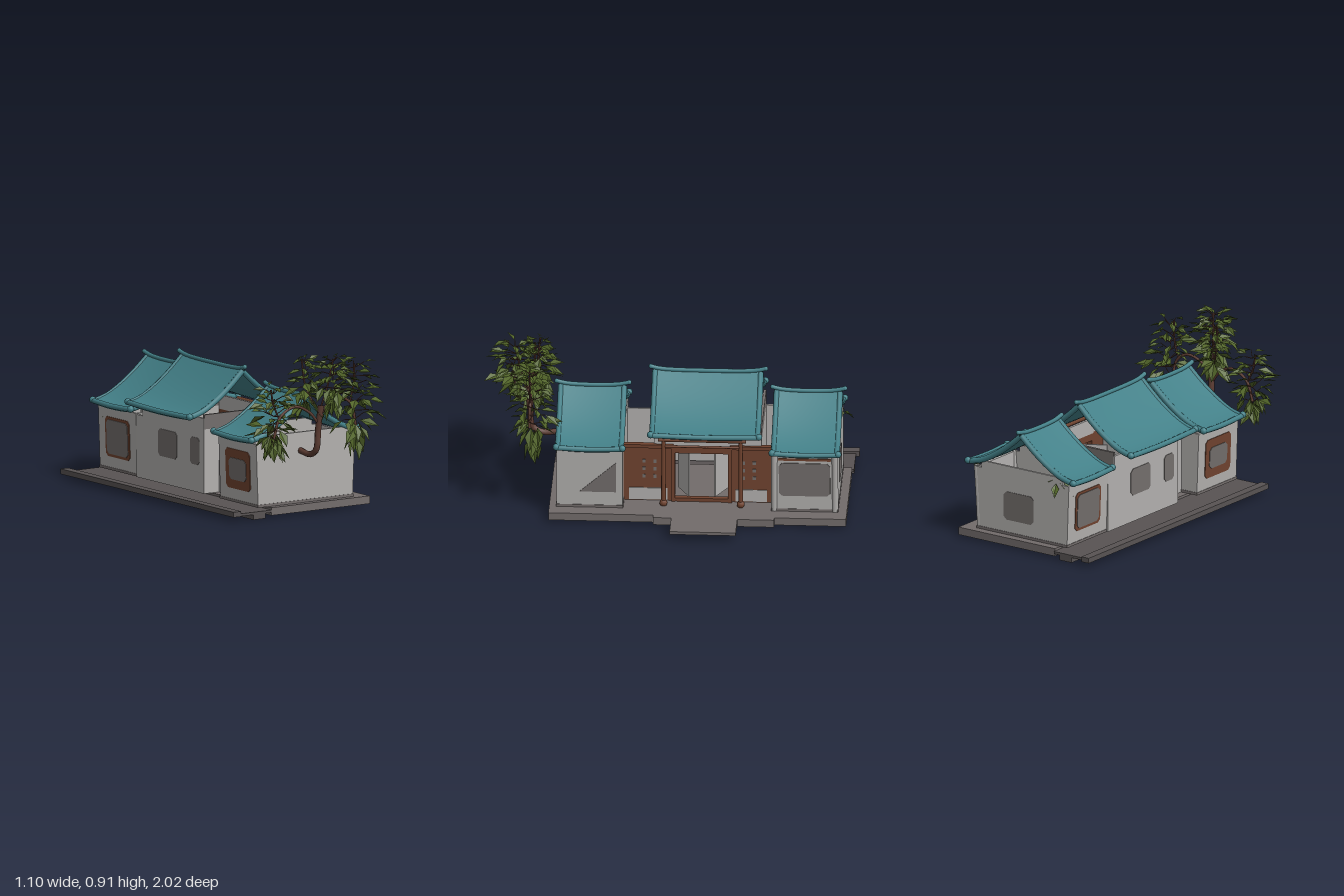
import * as THREE from 'three';
import { mergeGeometries } from 'three/addons/utils/BufferGeometryUtils.js';

export function createModel() {
  const model = new THREE.Group();
  const mat = (name, color, extra = {}) => {
    const m = new THREE.MeshStandardMaterial({ color, ...extra });
    m.name = name;
    return m;
  };
  const plaster = mat('plaster', 0xb2b0ae, { side: THREE.DoubleSide });
  const stone = mat('stone', 0x726c6b);
  const darkStone = mat('darkStone', 0x585353);
  const shade = mat('windowGrey', 0x736e6c);
  const tile = mat('roofTeal', 0x438088, { side: THREE.DoubleSide });
  const wood = mat('wood', 0x70432f);
  const bark = mat('bark', 0x5c3c32);
  const leafGreen = mat('leaf', 0x526529, { side: THREE.DoubleSide, flatShading: true });

  const add = (name, geo, material, parent = model) => {
    const m = new THREE.Mesh(geo, material);
    m.name = name;
    parent.add(m);
    return m;
  };
  const boxGeo = (x0, x1, y0, y1, z0, z1) =>
    new THREE.BoxGeometry(x1 - x0, y1 - y0, z1 - z0)
      .translate((x0 + x1) / 2, (y0 + y1) / 2, (z0 + z1) / 2);
  const box = (name, material, ...b) => add(name, boxGeo(...b), material);
  const tubeGeo = (pts, r, steps = 16, sides = 8) => new THREE.TubeGeometry(
    new THREE.CatmullRomCurve3(pts.map(p => new THREE.Vector3(...p))), steps, r, sides);
  const tube = (name, pts, r, material, parent = model) => add(name, tubeGeo(pts, r), material, parent);
  const ball = (name, x, y, z, r, material, parent = model) =>
    add(name, new THREE.SphereGeometry(r, 10, 8).translate(x, y, z), material, parent);
  const shapeOf = pts => new THREE.Shape(pts.map(p => new THREE.Vector2(...p)));

  // Stone terrace, entrance step with sloped underside, and back gutter
  box('terrace', stone, -0.3, 0.35, 0.012, 0.055, -0.97, 0.65);
  box('porchFloor', stone, 0.35, 0.38, 0.012, 0.055, -0.58, 0.08);
  add('entranceStep', new THREE.ExtrudeGeometry(
    shapeOf([[0.38, 0.012], [0.46, 0.036], [0.55, 0.038], [0.55, 0.055], [0.38, 0.055]]),
    { depth: 0.36, bevelEnabled: false }).translate(0, 0, -0.38), stone);
  box('backWalk', darkStone, -0.5, -0.3, 0.028, 0.042, -0.98, 0.65);
  box('backCurb', darkStone, -0.55, -0.5, 0.026, 0.055, -1, 0.65);
  box('backFooting', darkStone, -0.42, -0.34, 0, 0.028, -0.98, 0.65);

  // Four thin walls, flaring outward towards the top; side walls stop below the eaves
  const flare = 0.12;
  const shell = (name, x0, x1, z0, z1) => {
    const w = 0.014, b = 0.055, c = (x0 + x1) / 2;
    const geo = mergeGeometries([
      boxGeo(x0, x1, b, 0.405, z1 - w, z1), boxGeo(x0, x1, b, 0.405, z0, z0 + w),
      boxGeo(x0 + 0.04, x1 - 0.04, 0.405, 0.445, z1 - w, z1),
      boxGeo(x0 + 0.04, x1 - 0.04, 0.405, 0.445, z0, z0 + w),
      boxGeo(x0, x0 + w, b, 0.405, z0, z1), boxGeo(x1 - w, x1, b, 0.405, z0, z1)]);
    const p = geo.attributes.position;
    for (let i = 0; i < p.count; i++)
      p.setX(i, c + (p.getX(i) - c) * (1 + flare * (p.getY(i) - b)));
    geo.computeVertexNormals();
    add(name, geo, plaster);
    box(name + 'Plinth', stone, x0 - 0.003, x1 + 0.003, b, 0.07, z0 - 0.003, z1 + 0.003);
  };
  shell('frontHouseWalls', -0.36, 0.265, 0.25, 0.61);
  shell('rearHouseWalls', -0.345, 0.26, -0.92, -0.56);

  // Middle hall: end walls with grey gable bands, back wall, timber front with a doorway
  for (const z of [0.07, -0.5]) {
    box('hallEndWall', plaster, -0.35, 0.15, 0.055, 0.41, z, z + 0.015);
    box('hallGableBand', shade, -0.35, 0.15, 0.41, 0.49, z, z + 0.015);
  }
  box('hallBackWall', plaster, -0.355, -0.34, 0.055, 0.47, -0.5, 0.085);
  box('linkBackWall', plaster, -0.255, -0.245, 0.055, 0.41, 0.085, 0.25);
  box('linkBackWall', plaster, -0.355, -0.34, 0.055, 0.4, -0.56, -0.5);
  box('hallLintel', plaster, 0.14, 0.155, 0.385, 0.47, -0.5, 0.085);
  for (const [z0, z1] of [[-0.02, 0.25], [-0.56, -0.33]]) {
    box('timberWall', wood, 0.14, 0.16, 0.055, 0.385, z0, z1);
    box('plasterSkirting', plaster, 0.158, 0.165, 0.06, 0.13, z0 + 0.03, z1 - 0.03);
    box('timberRail', wood, 0.14, 0.172, 0.372, 0.392, z0, z1);
    for (let i = 0; i < 2; i++) for (let j = 0; j < 3; j++) {
      const z = z0 + 0.09 + i * 0.06, y = 0.19 + j * 0.045;
      box('latticeHole', shade, 0.158, 0.163, y, y + 0.02, z, z + 0.018);
    }
  }
  box('doorHead', wood, 0.14, 0.17, 0.345, 0.385, -0.33, -0.02);
  box('doorSill', wood, 0.14, 0.17, 0.055, 0.075, -0.33, -0.02);
  for (const z of [-0.02, -0.33]) box('doorJamb', wood, 0.14, 0.175, 0.055, 0.385, z - 0.01, z + 0.01);
  for (const s of [1, -1]) {
    const leaf = add('openDoorLeaf', new THREE.BoxGeometry(0.13, 0.27, 0.01), plaster);
    leaf.position.set(0.085, 0.21, -0.175 + s * 0.1);
    leaf.rotation.y = s * 0.5;
  }

  // Porch posts with ball feet and two cross beams
  for (const z of [0.03, -0.39]) {
    add('porchPost', new THREE.CylinderGeometry(0.011, 0.013, 0.4, 10).translate(0.22, 0.255, z), wood);
    ball('postFoot', 0.22, 0.07, z, 0.022, wood);
    tube('porchTie', [[0.15, 0.42, z], [0.185, 0.425, z], [0.22, 0.42, z]], 0.009, wood);
  }
  tube('porchBeam', [[0.22, 0.45, 0.06], [0.22, 0.45, -0.18], [0.22, 0.45, -0.42]], 0.013, wood);
  tube('porchRail', [[0.22, 0.41, 0.03], [0.22, 0.41, -0.18], [0.22, 0.41, -0.39]], 0.007, wood);

  // Round corner columns of the rear house
  for (const z of [-0.575, -0.905])
    tube('cornerColumn', [[0.25, 0.055, z], [0.26, 0.24, z], [0.272, 0.41, z]], 0.018, plaster);

  // Windows: thin plates, leaning with the flared walls
  const Q = Math.PI / 2;
  const plate = (name, material, pts, x, y, z, turn, lean = 0) => {
    const g = new THREE.ExtrudeGeometry(shapeOf(pts), { depth: 0.005, bevelEnabled: false });
    const m = add(name, g, material);
    m.position.set(x, y, z);
    m.rotation.set(lean, turn, 0, 'YXZ');
  };
  const clipped = (w, h, c = 0.018) => [[-w + c, -h], [w - c, -h], [w, -h + c], [w, h - c],
    [w - c, h], [-w + c, h], [-w, h - c], [-w, -h + c]];
  const lean = 0.037;
  plate('rearWindow', shade, clipped(0.1, 0.08), -0.02, 0.22, -0.918, Math.PI);
  plate('rearHouseSideWindow', shade, clipped(0.14, 0.1), 0.266, 0.25, -0.74, Q, lean);
  plate('rearWindowHead', wood, clipped(0.145, 0.007, 0.004), 0.27, 0.372, -0.74, Q, lean);
  plate('frontHouseSidePatch', shade, [[-0.1, -0.09], [0.1, -0.09], [0.1, 0.09]], 0.27, 0.24, 0.385, Q, lean);
  plate('hallBackWindow', shade, clipped(0.09, 0.075), -0.353, 0.28, -0.26, -Q);
  plate('hallBackWindow', shade, clipped(0.045, 0.075), -0.353, 0.28, 0.0, -Q);
  for (const [z, x, w, h] of [[-0.74, -0.35, 0.1, 0.095], [0.43, -0.366, 0.08, 0.06]]) {
    plate('sideWindowFrame', wood, clipped(0.115, 0.11), x, 0.24, z, -Q, lean);
    plate('sideWindow', shade, clipped(w, h), x - 0.003, 0.24, z, -Q, lean);
  }

  // Thick curved gable roof with rolled eaves, gable edges and an upturned ridge
  const roof = (name, cx, z0, z1, eave, ridge) => {
    const g = new THREE.Group();
    g.name = name;
    model.add(g);
    const half = 0.355, len = z1 - z0, zc = (z0 + z1) / 2, thick = 0.024;
    const height = t => eave + (ridge - eave) * Math.pow(1 - t, 1.55);
    const lift = z => 0.01 * Math.pow((z - zc) / (len / 2), 2);
    for (const s of [1, -1]) {
      for (const drop of [0, thick]) {
        const sheet = new THREE.PlaneGeometry(1, 1, 10, 8);
        const p = sheet.attributes.position;
        for (let i = 0; i < p.count; i++) {
          const t = p.getX(i) + 0.5, z = zc - s * p.getY(i) * len;
          p.setXYZ(i, cx + s * t * half, height(t) + lift(z) - drop, z);
        }
        sheet.computeVertexNormals();
        add(drop ? 'roofUnderside' : 'roofSlope', sheet, tile, g);
      }
      for (const z of [z0 + 0.008, z1 - 0.008])
        tube('gableEdge', [0, 0.25, 0.5, 0.75, 1].map(t => [cx + s * t * half, height(t) - 0.003, z]), 0.016, tile, g);
      const ex = cx + s * half;
      tube('eaveRoll', [[ex, eave, z0], [ex, eave - 0.006, zc], [ex, eave, z1]], 0.015, tile, g);
      for (const z of [z0, z1]) ball('eaveKnob', ex, eave + 0.004, z, 0.019, tile, g);
    }
    tube('ridgeBeam', [[cx, ridge + 0.022, z0 - 0.02], [cx, ridge + 0.01, z0 + 0.04],
      [cx, ridge + 0.004, zc], [cx, ridge + 0.01, z1 - 0.04], [cx, ridge + 0.022, z1 + 0.015]], 0.012, tile, g);
    for (const z of [z0 - 0.02, z1 + 0.015]) ball('ridgeKnob', cx, ridge + 0.022, z, 0.013, tile, g);
  };
  roof('frontRoof', -0.05, 0.25, 0.61, 0.427, 0.638);
  roof('middleRoof', -0.105, -0.49, 0.1, 0.487, 0.712);
  roof('rearRoof', -0.035, -0.925, -0.565, 0.427, 0.638);

  // Tree growing out of the front wall
  tube('trunk', [[-0.08, 0.345, 0.6], [-0.08, 0.335, 0.7], [-0.08, 0.37, 0.76], [-0.075, 0.48, 0.77], [-0.07, 0.62, 0.79]], 0.017, bark);
  const branches = [
    [[-0.075, 0.53, 0.775], [-0.03, 0.6, 0.77], [0.07, 0.645, 0.76], [0.15, 0.6, 0.76], [0.18, 0.48, 0.76]],
    [[-0.08, 0.52, 0.775], [-0.13, 0.58, 0.77], [-0.22, 0.62, 0.76], [-0.32, 0.57, 0.76], [-0.36, 0.46, 0.76]],
    [[-0.07, 0.6, 0.785], [-0.05, 0.72, 0.82], [-0.03, 0.88, 0.85]],
    [[-0.07, 0.58, 0.785], [-0.13, 0.7, 0.74], [-0.15, 0.87, 0.72]],
    [[0.14, 0.61, 0.76], [0.165, 0.7, 0.76], [0.17, 0.82, 0.76]],
    [[-0.33, 0.57, 0.76], [-0.365, 0.65, 0.76], [-0.38, 0.73, 0.76]]];
  branches.forEach((b, i) => tube('branch', b, i < 2 ? 0.008 : 0.005, bark));

  // Folded pointed leaves on thin twigs, set in whorls
  let seed = 7;
  const rnd = () => (seed = (seed * 16807) % 2147483647) / 2147483647;
  const leaf = new THREE.BufferGeometry();
  leaf.setAttribute('position', new THREE.Float32BufferAttribute([
    0, 0, 0, 0.24, 0.05, 0.45, 0, -0.05, 0.5, 0.24, 0.05, 0.45, 0, -0.12, 1, 0, -0.05, 0.5,
    0, 0, 0, 0, -0.05, 0.5, -0.24, 0.05, 0.45, 0, -0.05, 0.5, 0, -0.12, 1, -0.24, 0.05, 0.45], 3));
  leaf.computeVertexNormals();
  const foliage = (name, cx, cz, y0, y1, reach, tiers, perTier) => {
    const leaves = [], twigs = [], o = new THREE.Object3D();
    o.rotation.order = 'YXZ';
    for (let i = 0; i < tiers; i++) {
      const t = i / (tiers - 1);
      const r = reach * (t < 0.35 ? 0.55 + 1.3 * t : 1.2 - 0.55 * t);
      for (let k = 0; k < perTier; k++) {
        const a = (k + rnd() * 0.8 + i * 0.4) / perTier * Math.PI * 2;
        const size = (0.115 - 0.045 * t) * (0.8 + 0.4 * rnd());
        const d = Math.max(0.01, (r - size * 0.8) * (0.35 + 0.65 * rnd()));
        const y = y0 + (y1 - y0) * t;
        o.position.set(cx + Math.sin(a) * d, y + (rnd() - 0.5) * 0.05, cz + Math.cos(a) * d);
        o.rotation.set((t < 0.15 ? 1 : 0.45 - 0.5 * t) + (rnd() - 0.5) * 0.9,
          a + (rnd() - 0.5) * 1.2, (rnd() - 0.5) * 1.3);
        o.scale.setScalar(size);
        o.updateMatrix();
        leaves.push(leaf.clone().applyMatrix4(o.matrix));
        if (k % 2 === 0) twigs.push(tubeGeo([[cx, y - 0.015, cz], o.position.toArray()], 0.0025, 1, 4));
      }
    }
    add(name, mergeGeometries(leaves), leafGreen);
    add(name + 'Twigs', mergeGeometries(twigs), bark);
  };
  foliage('leftFoliage', 0.185, 0.745, 0.43, 0.81, 0.18, 9, 8);
  foliage('rightFoliage', -0.36, 0.76, 0.43, 0.72, 0.18, 8, 8);
  foliage('centreFoliage', -0.03, 0.85, 0.66, 0.88, 0.18, 7, 9);
  foliage('upperFoliage', -0.13, 0.72, 0.64, 0.86, 0.12, 6, 7);
  foliage('rearVine', -0.27, -0.915, 0.41, 0.42, 0.04, 2, 3);
  foliage('rearSprig', 0.22, -0.9, 0.41, 0.42, 0.03, 2, 2);
  return model;
}
